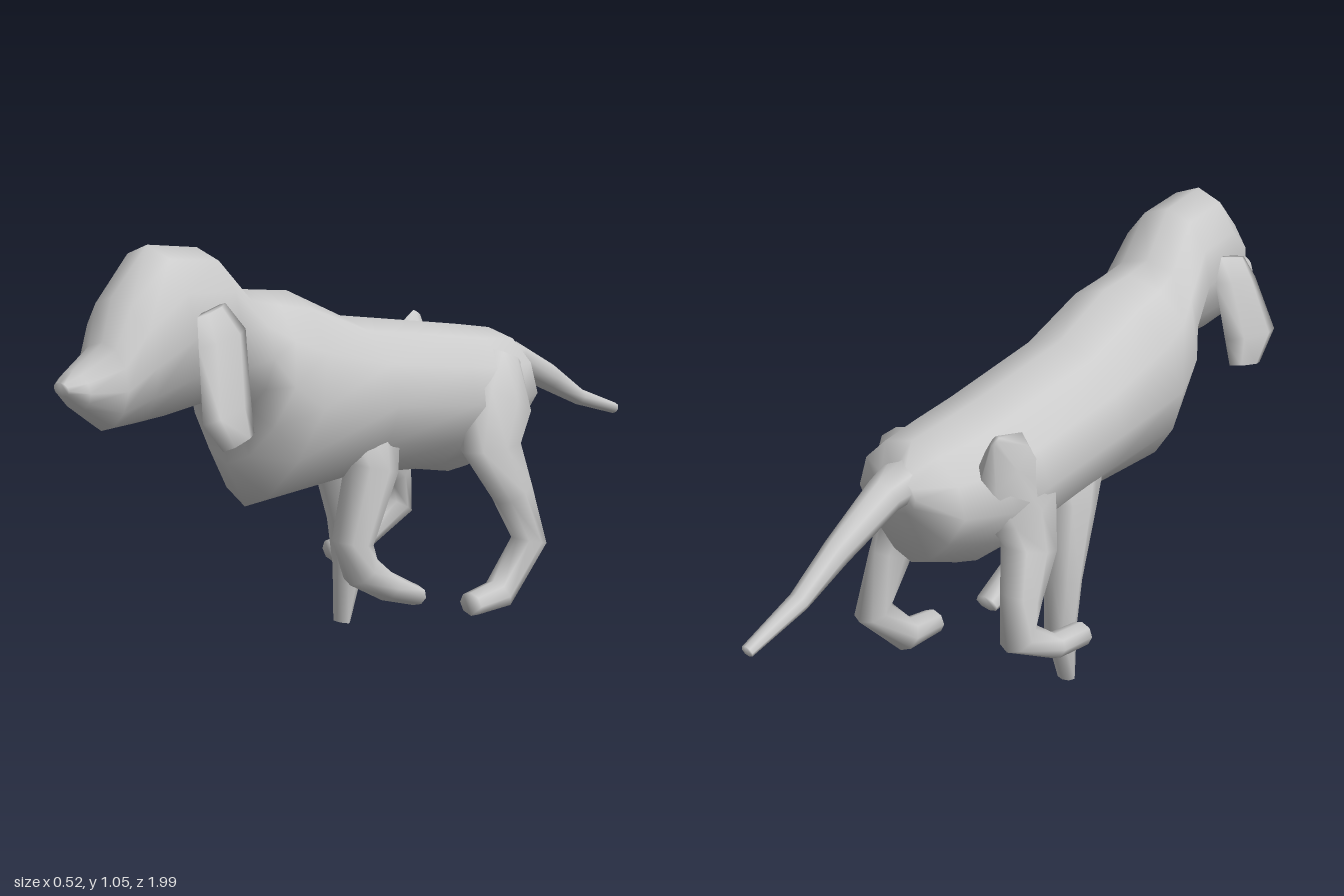
import * as THREE from 'three';

const material = new THREE.MeshStandardMaterial({ color: 0xcccccc });

// Skin over rings. Each ring: a, b = opposite points of the section, w = half width in x,
// pinch = how much the b half narrows.
function loft(name, rings, sides) {
  const pos = [], index = [];
  for (const { a, b, w, pinch = 0 } of rings) {
    for (let j = 0; j < sides; j++) {
      const t = (j / sides) * Math.PI * 2, c = Math.cos(t);
      const k = (1 + c) / 2;
      const p = a.map((v, n) => v * k + b[n] * (1 - k));
      p[0] += w * Math.sin(t) * (1 - pinch * Math.max(0, -c));
      pos.push(...p);
    }
  }
  for (let i = 0; i < rings.length - 1; i++) {
    for (let j = 0; j < sides; j++) {
      const p = i * sides + j, q = i * sides + (j + 1) % sides;
      index.push(p, q, p + sides, q, q + sides, p + sides);
    }
  }
  // end caps
  const last = (rings.length - 1) * sides;
  for (let j = 1; j < sides - 1; j++) {
    index.push(0, j + 1, j, last, last + j, last + j + 1);
  }
  const geo = new THREE.BufferGeometry();
  geo.setAttribute('position', new THREE.Float32BufferAttribute(pos, 3));
  geo.setIndex(index);
  geo.computeVertexNormals();
  const mesh = new THREE.Mesh(geo, material);
  mesh.name = name;
  return mesh;
}

// Limb along points [x, y, z, half width, half depth], sections square to the path
function limb(name, pts, sides = 8) {
  const rings = pts.map(([x, y, z, w, d], i) => {
    const p = pts[Math.max(i - 1, 0)], n = pts[Math.min(i + 1, pts.length - 1)];
    const ty = n[1] - p[1], tz = n[2] - p[2], l = Math.hypot(ty, tz);
    const dy = -tz / l * d, dz = ty / l * d;
    return { a: [x, y + dy, z + dz], b: [x, y - dy, z - dz], w };
  });
  return loft(name, rings, sides);
}

export function createModel() {
  const group = new THREE.Group();
  group.name = 'dog';

  // Head, neck and trunk: [top z, top y, bottom z, bottom y, centre x, half width, pinch]
  const skin = [
    [1.0, 0.79, 0.995, 0.76, 0.05, 0.025, 0],
    [0.965, 0.81, 0.96, 0.725, 0.048, 0.055, 0],
    [0.88, 0.86, 0.89, 0.67, 0.045, 0.088, 0.1],
    [0.845, 0.95, 0.79, 0.67, 0.035, 0.115, 0.2],
    [0.73, 1.05, 0.69, 0.67, 0.02, 0.137, 0.2],
    [0.58, 1.03, 0.57, 0.68, 0.012, 0.14, 0.1],
    [0.47, 0.925, 0.48, 0.64, -0.008, 0.155, 0.1],
    [0.38, 0.912, 0.475, 0.52, -0.015, 0.18, 0.3],
    [0.28, 0.9, 0.42, 0.41, -0.015, 0.193, 0.3],
    [0.1, 0.82, 0.1, 0.43, -0.018, 0.195, 0.1],
    [-0.2, 0.77, -0.17, 0.4, -0.02, 0.19, 0.1],
    [-0.32, 0.75, -0.29, 0.375, -0.015, 0.19, 0.4],
    [-0.43, 0.73, -0.44, 0.43, -0.005, 0.16, 0.4],
    [-0.51, 0.68, -0.5, 0.58, -0.015, 0.065, 0],
  ];
  group.add(loft('headAndTrunk', skin.map(([tz, ty, bz, by, x, w, pinch]) =>
    ({ a: [x, ty, tz], b: [x, by, bz], w, pinch })), 12));

  // Tail
  group.add(limb('tail', [
    [-0.015, 0.66, -0.44, 0.07, 0.05],
    [-0.015, 0.635, -0.54, 0.048, 0.043],
    [-0.02, 0.56, -0.7, 0.032, 0.036],
    [-0.025, 0.49, -0.83, 0.026, 0.022],
    [-0.025, 0.435, -0.99, 0.016, 0.015],
  ]));

  // Front legs: one straight, one folded back
  group.add(limb('rightFrontLeg', [
    [-0.11, 0.6, 0.06, 0.05, 0.1],
    [-0.13, 0.46, 0.0, 0.06, 0.07],
    [-0.143, 0.28, -0.045, 0.05, 0.043],
    [-0.147, 0.15, -0.06, 0.04, 0.04],
    [-0.147, 0.005, -0.035, 0.025, 0.017],
  ]));
  group.add(limb('leftFrontLeg', [
    [0.08, 0.61, 0.1, 0.05, 0.1],
    [0.1, 0.47, 0.115, 0.06, 0.07],
    [0.105, 0.3, 0.185, 0.05, 0.05],
    [0.107, 0.23, 0.16, 0.045, 0.048],
    [0.107, 0.17, 0.07, 0.042, 0.036],
    [0.107, 0.125, -0.035, 0.034, 0.025],
  ]));

  // Hind legs: hip (the right one rises to a point), thigh, hock, raised paw
  group.add(limb('rightHindLeg', [
    [-0.19, 0.755, -0.36, 0.008, 0.015],
    [-0.145, 0.66, -0.29, 0.055, 0.1],
    [-0.155, 0.54, -0.22, 0.06, 0.11],
    [-0.18, 0.44, -0.225, 0.055, 0.085],
    [-0.205, 0.34, -0.285, 0.048, 0.055],
    [-0.215, 0.25, -0.31, 0.043, 0.047],
    [-0.225, 0.18, -0.19, 0.038, 0.03],
    [-0.225, 0.168, -0.08, 0.034, 0.03],
  ]));
  group.add(limb('leftHindLeg', [
    [0.09, 0.68, -0.36, 0.06, 0.05],
    [0.125, 0.58, -0.31, 0.07, 0.12],
    [0.15, 0.47, -0.26, 0.055, 0.1],
    [0.175, 0.35, -0.315, 0.045, 0.06],
    [0.187, 0.215, -0.37, 0.042, 0.05],
    [0.19, 0.1, -0.25, 0.04, 0.042],
    [0.19, 0.095, -0.145, 0.035, 0.03],
  ]));

  // Ears: [y, back z, back x, front z, front x, half thickness]
  const ear = (name, rows) => group.add(loft(name, rows.map(([y, bz, bx, fz, fx, w]) =>
    ({ a: [bx, y, bz], b: [fx, y - 0.02, fz], w })), 6));
  ear('leftEar', [
    [0.925, 0.62, 0.145, 0.715, 0.16, 0.012],
    [0.865, 0.575, 0.16, 0.735, 0.185, 0.022],
    [0.715, 0.59, 0.19, 0.785, 0.25, 0.02],
    [0.645, 0.6, 0.21, 0.715, 0.235, 0.014],
  ]);
  ear('rightEar', [
    [0.92, 0.62, -0.13, 0.715, -0.135, 0.014],
    [0.865, 0.575, -0.145, 0.735, -0.16, 0.022],
    [0.715, 0.59, -0.17, 0.79, -0.19, 0.024],
    [0.645, 0.6, -0.18, 0.715, -0.197, 0.015],
  ]);
  return group;
}
